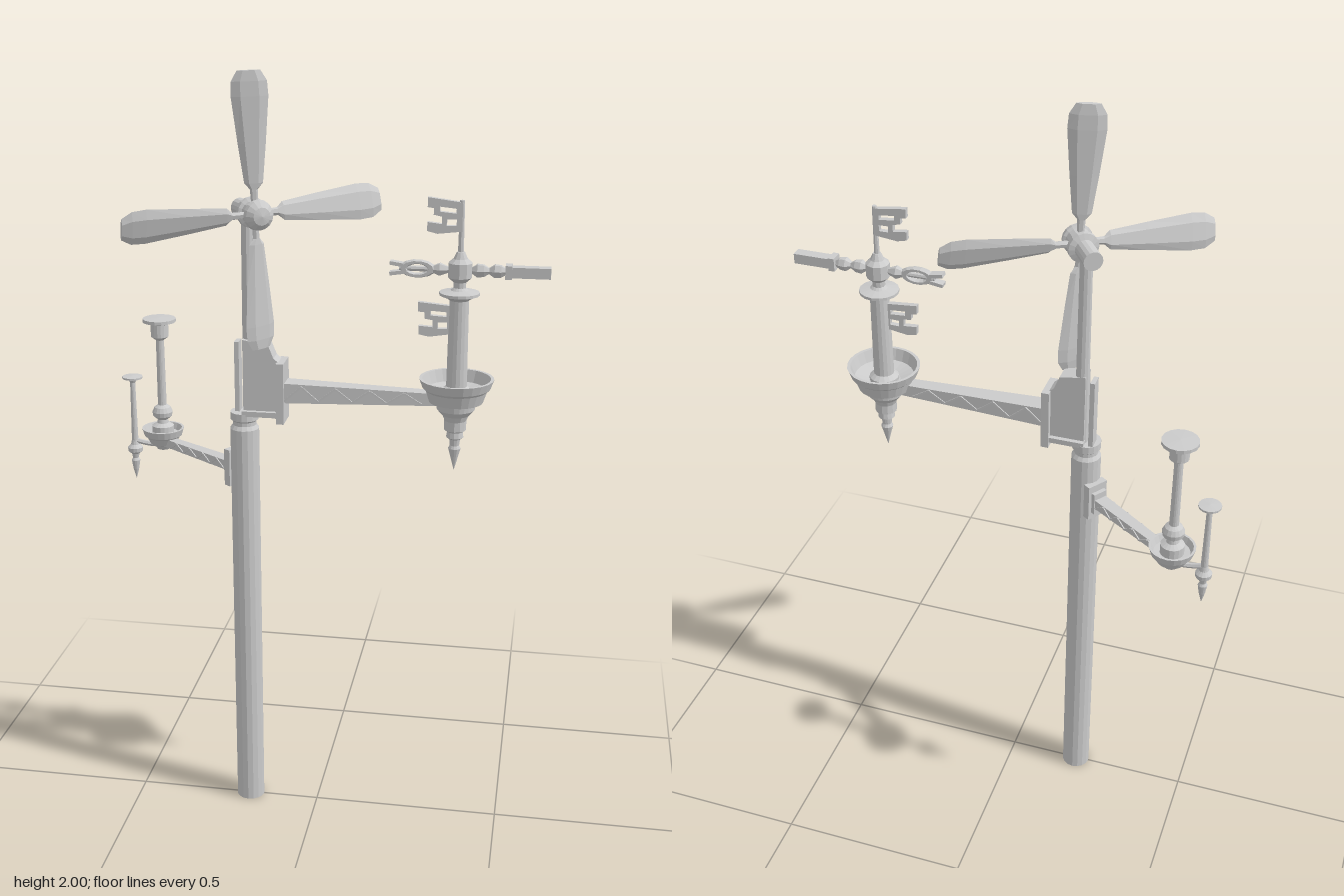
import * as THREE from 'three';

const mat = new THREE.MeshStandardMaterial({ color: 0xcccccc, flatShading: true, side: THREE.DoubleSide });

function add(parent, name, geo, x = 0, y = 0, z = 0) {
  const m = new THREE.Mesh(geo, mat);
  m.name = name;
  m.position.set(x, y, z);
  parent.add(m);
  return m;
}
const group = (parent, name, x = 0, y = 0, z = 0) => {
  const g = new THREE.Group();
  g.name = name;
  g.position.set(x, y, z);
  parent.add(g);
  return g;
};
const box = (w, h, d) => new THREE.BoxGeometry(w, h, d);
const cyl = (r0, r1, h, n = 16) => new THREE.CylinderGeometry(r1, r0, h, n);
// Turned profile, [radius, height] from bottom to top
const turned = (pts, n = 20) => new THREE.LatheGeometry(pts.map(p => new THREE.Vector2(...p)), n);

// Stack of cross-sections along y: [height, half width x, half depth z]
function loft(sections, sides = 4, start = 0) {
  const n = sections.length - 1;
  const g = new THREE.CylinderGeometry(1, 1, 1, sides, n, false, start);
  const p = g.attributes.position;
  for (let i = 0; i < p.count; i++) {
    const [h, w, d] = sections[Math.round((p.getY(i) + 0.5) * n)];
    p.setXYZ(i, p.getX(i) * w, h, p.getZ(i) * d);
  }
  g.computeVertexNormals();
  return g;
}
// Tapered rectangular beam pointing along +x
function beam(x0, h0, d0, x1, h1, d1) {
  const s = Math.SQRT2 / 2;
  return loft([[x0, h0 * s, d0 * s], [x1, h1 * s, d1 * s]], 4, Math.PI / 4).rotateZ(-Math.PI / 2);
}
// Zigzag ribs on both sides of a beam
function addRibs(parent, count, x0, x1, h0, h1, d0, d1) {
  const step = (x1 - x0) / count;
  for (let i = 0; i < count; i++) {
    const t = (i + 0.5) / count, h = h0 + (h1 - h0) * t, d = d0 + (d1 - d0) * t;
    for (const side of [1, -1]) {
      const rib = add(parent, 'armRib', box(Math.hypot(step, h) * 0.92, 0.005, 0.004), x0 + step * (i + 0.5), 0, side * d / 2);
      rib.rotation.z = (i % 2 ? -1 : 1) * Math.atan2(h * 0.8, step);
    }
  }
}
function extrude(points, depth, holes = []) {
  const s = new THREE.Shape(points.map(p => new THREE.Vector2(...p)));
  holes.forEach(h => s.holes.push(new THREE.Path(h.map(p => new THREE.Vector2(...p)))));
  return new THREE.ExtrudeGeometry(s, { depth, bevelEnabled: false }).translate(0, 0, -depth / 2);
}

function addMast(root) {
  add(root, 'pole', turned([[0, 0], [0.038, 0], [0.038, 1.095], [0.031, 1.105], [0.031, 1.115], [0.037, 1.12], [0.037, 1.14], [0, 1.14]], 16), -0.19);
  add(root, 'backPlate', box(0.012, 0.19, 0.035), -0.207, 1.23, -0.01);
  add(root, 'rotorPost', cyl(0.018, 0.016, 0.53, 12), -0.176, 1.395, -0.005);
  // Curved gusset carrying the main arm
  add(root, 'gusset', extrude([[-0.188, 1.13], [-0.15, 1.145], [-0.09, 1.125], [-0.09, 1.275], [-0.108, 1.29], [-0.122, 1.325], [-0.188, 1.335]], 0.046), 0, 0, 0);
  add(root, 'gussetFoot', box(0.1, 0.014, 0.07), -0.14, 1.142, 0);
  add(root, 'endPlate', box(0.02, 0.16, 0.076), -0.09, 1.2, 0);
}

function addRotor(root) {
  const rotor = group(root, 'rotor', -0.145, 1.66, 0.045);
  rotor.rotation.y = 0.6;
  const shaft = [[0, -0.1], [0.024, -0.1], [0.024, -0.035], [0.038, -0.03], [0.038, -0.018], [0.03, -0.014], [0.032, 0.014], [0.038, 0.018], [0.036, 0.03], [0.022, 0.044], [0, 0.048]];
  add(rotor, 'hub', turned(shaft, 16).rotateX(Math.PI / 2));
  const blade = loft([[0.02, 0.008, 0.008], [0.06, 0.01, 0.008], [0.075, 0.023, 0.009], [0.17, 0.034, 0.01], [0.28, 0.045, 0.011], [0.315, 0.043, 0.01], [0.34, 0.028, 0.007]], 6, Math.PI / 6);
  for (let i = 0; i < 4; i++) {
    const arm = group(rotor, 'bladeMount');
    arm.rotation.z = 0.035 + i * Math.PI / 2;
    add(arm, 'blade', blade).rotation.y = -0.3;
  }
}

function addMainArm(root) {
  const arm = group(root, 'mainArm', 0, 1.2, 0);
  add(arm, 'armBeam', beam(-0.085, 0.052, 0.052, 0.33, 0.03, 0.034));
  addRibs(arm, 8, -0.08, 0.27, 0.05, 0.032, 0.054, 0.038);

  const g = group(root, 'vaneStand', 0.355, 0, 0);
  add(g, 'cup', turned([[0, 1.16], [0.035, 1.16], [0.048, 1.175], [0.05, 1.19], [0.068, 1.195], [0.078, 1.225], [0.086, 1.232], [0.094, 1.255], [0.086, 1.255], [0.076, 1.225], [0.04, 1.215], [0, 1.215]], 24));
  add(g, 'spike', turned([[0, 1.01], [0.008, 1.04], [0.016, 1.07], [0.012, 1.078], [0.014, 1.095], [0.022, 1.1], [0.02, 1.115], [0.028, 1.12], [0.028, 1.145], [0.035, 1.162], [0, 1.165]], 12));
  add(g, 'column', turned([[0.038, 1.21], [0.038, 1.225], [0.026, 1.235], [0.024, 1.455], [0.034, 1.462], [0.05, 1.468], [0.05, 1.475], [0.022, 1.48], [0.012, 1.49], [0, 1.49]], 16));
  addVane(g);
}

function addVane(g) {
  const vane = group(g, 'vane', 0, 1.53, 0);
  add(vane, 'vaneRod', cyl(0.008, 0.006, 0.22, 8), 0, 0.06, 0);
  add(vane, 'vaneHub', turned([[0, -0.05], [0.016, -0.045], [0.016, -0.03], [0.03, -0.018], [0.03, 0.018], [0.018, 0.028], [0.01, 0.045], [0, 0.045]], 10));
  const along = geo => geo.rotateZ(-Math.PI / 2);
  add(vane, 'crossBar', along(cyl(0.007, 0.007, 0.3, 8)), 0.0, 0, 0);
  // Knotted right side ending in a flat tail
  for (const x of [0.05, 0.092])
    add(vane, 'barKnot', along(loft([[-0.022, 0.008, 0.008], [-0.008, 0.018, 0.017], [0.008, 0.016, 0.015], [0.022, 0.007, 0.008]], 6)), x, 0, 0);
  add(vane, 'tailCollar', box(0.016, 0.034, 0.034), 0.118, 0, 0);
  add(vane, 'flatTail', box(0.095, 0.026, 0.028), 0.172, 0, 0);
  // Open loop and prongs on the left side
  add(vane, 'barKnot', along(loft([[-0.022, 0.007, 0.007], [0, 0.017, 0.016], [0.022, 0.008, 0.008]], 6)), -0.05, 0, 0);
  const loop = add(vane, 'barLoop', new THREE.TorusGeometry(0.017, 0.006, 6, 14), -0.105, 0, 0);
  loop.scale.set(2, 1, 1.8);
  for (const s of [1, -1]) {
    const prong = add(vane, 'prong', box(0.034, 0.009, 0.022), -0.156, s * 0.011, 0);
    prong.rotation.z = -s * 0.15;
  }
  // Notched pennants above and below the bar
  const pennant = extrude([[0, -0.035], [0, 0.035], [-0.085, 0.046], [-0.085, 0.022], [-0.07, 0.02], [-0.07, 0.004], [-0.05, 0], [-0.05, -0.018], [-0.085, -0.014], [-0.085, -0.036], [-0.06, -0.042]],
    0.014, [[[-0.015, 0.008], [-0.015, 0.02], [-0.055, 0.024], [-0.055, 0.012]], [[-0.014, -0.022], [-0.014, -0.006], [-0.038, -0.006], [-0.038, -0.022]]]);
  add(vane, 'upperPennant', pennant, 0.002, 0.13, 0);
  add(vane, 'lowerPennant', pennant, -0.014, -0.125, 0).rotation.z = 0.04;
}

function addSideArm(root) {
  const arm = group(root, 'sideArm', -0.22, 0.98, -0.021);
  arm.rotation.y = 2.54;
  add(arm, 'wallPlate', box(0.02, 0.1, 0.058), 0.004, 0, 0);
  add(arm, 'wallPad', box(0.014, 0.06, 0.04), 0.018, 0, 0);
  add(arm, 'sideBeam', beam(0.01, 0.026, 0.036, 0.28, 0.022, 0.026));
  addRibs(arm, 8, 0.03, 0.25, 0.026, 0.022, 0.037, 0.029);

  const lamp = group(root, 'sideStand', -0.465, 0, -0.195);
  add(lamp, 'sideCup', turned([[0, 0.955], [0.018, 0.955], [0.026, 0.968], [0.036, 0.972], [0.046, 0.99], [0.052, 0.995], [0.058, 1.015], [0.052, 1.015], [0.045, 0.998], [0, 0.995]]));
  add(lamp, 'sideColumn', turned([[0.03, 0.995], [0.03, 1.022], [0.016, 1.03], [0.014, 1.04], [0.026, 1.05], [0.028, 1.062], [0.022, 1.075], [0.012, 1.082], [0.011, 1.265], [0.024, 1.275], [0.024, 1.31], [0.045, 1.316], [0.045, 1.325], [0, 1.327]], 16));
  // Small hanging finial beside the cup
  const drop = group(root, 'hangingFinial', -0.547, 0, -0.195);
  add(drop, 'finial', turned([[0, 0.86], [0.008, 0.89], [0.012, 0.915], [0.008, 0.922], [0.011, 0.935], [0.02, 0.942], [0.021, 0.953], [0.012, 0.962], [0.009, 0.975], [0.007, 1.14], [0.011, 1.148], [0.028, 1.153], [0.028, 1.158], [0, 1.16]], 14));
  const hook = new THREE.QuadraticBezierCurve3(new THREE.Vector3(0, 0.975, 0), new THREE.Vector3(0.03, 0.965, 0), new THREE.Vector3(0.06, 0.965, 0));
  add(drop, 'finialHook', new THREE.TubeGeometry(hook, 8, 0.007, 6));
}

export function createModel() {
  const root = new THREE.Group();
  root.name = 'windRotorMast';
  addMast(root);
  addRotor(root);
  addMainArm(root);
  addSideArm(root);
  return root;
}
